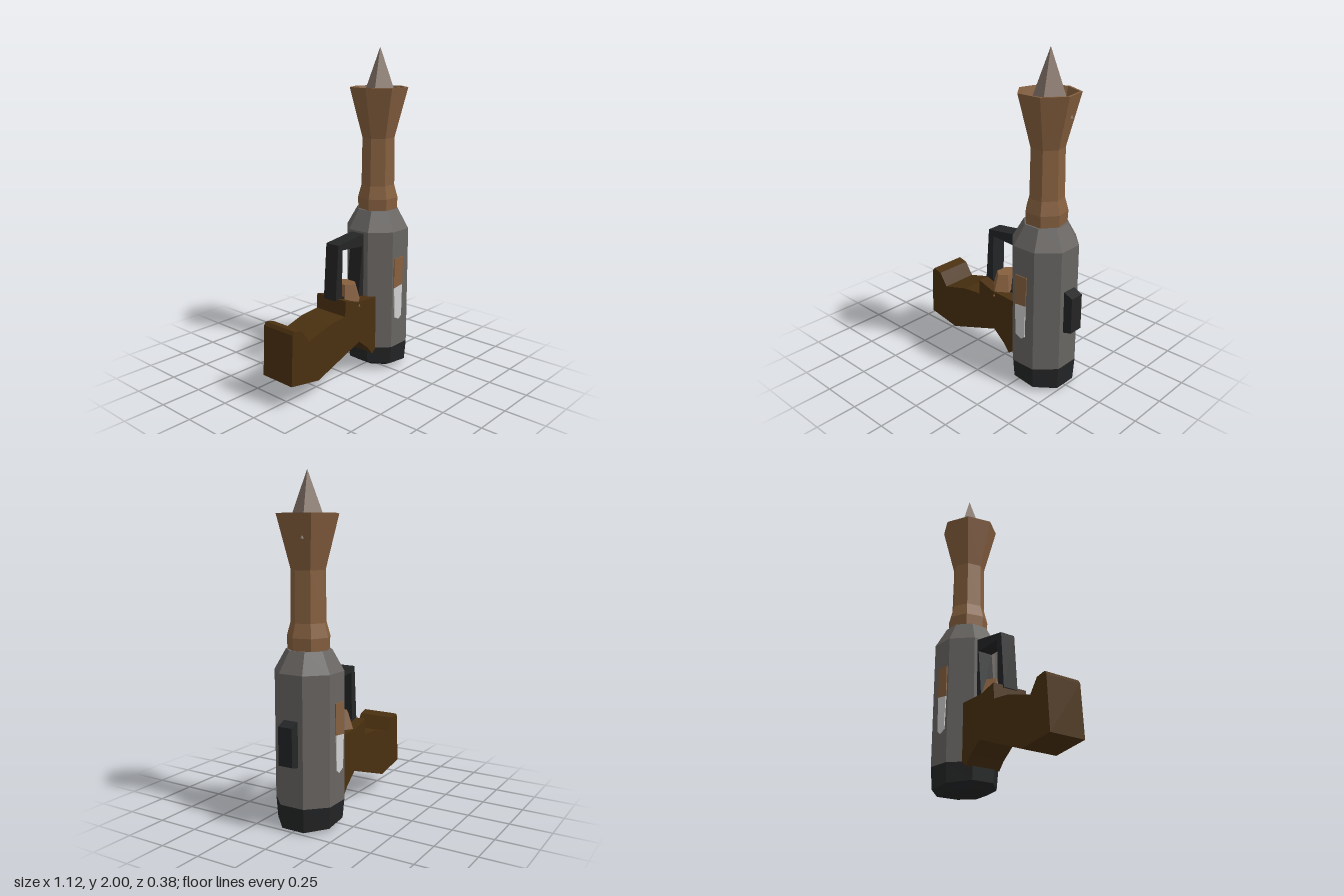
import * as THREE from 'three';

function mat(name, color) {
  const m = new THREE.MeshStandardMaterial({ color, flatShading: true, side: THREE.DoubleSide });
  m.name = name;
  return m;
}

export function createModel() {
  const group = new THREE.Group();
  const darkWood = mat('dark wood', 0x4a3010);
  const copper = mat('copper brown', 0x86603f);
  const steel = mat('grey steel', 0x686562);
  const black = mat('black', 0x242526);
  const pale = mat('pale grey', 0xd0d0d0);
  const spikeGrey = mat('spike grey', 0x88776b);
  const CX = 0.318; // axis of the barrel

  function add(name, geometry, material, x = 0, y = 0, z = 0) {
    const mesh = new THREE.Mesh(geometry, material);
    mesh.name = name;
    mesh.position.set(x, y, z);
    group.add(mesh);
    return mesh;
  }
  const v2 = (pts) => pts.map(([x, y]) => new THREE.Vector2(x, y));
  const lathe = (pts, sides, start) => new THREE.LatheGeometry(v2(pts), sides, start);

  // Side outline given thickness from z0 to z1
  function slab(outline, z0, z1, hole) {
    const shape = new THREE.Shape(v2(outline));
    if (hole) shape.holes.push(new THREE.Path(v2(hole)));
    return new THREE.ExtrudeGeometry(shape, { depth: z1 - z0, bevelEnabled: false }).translate(0, 0, z0);
  }

  // Octagonal body with sloped shoulder
  add('body', lathe([[0.2, 0.15], [0.2, 0.9], [0.132, 1.02], [0, 1.02]], 8, Math.PI / 8), steel, CX);

  // Base cap, its underside slightly tilted
  const base = lathe([[0, 0], [0.13, 0], [0.19, 0.03], [0.2, 0.15]], 8, Math.PI / 8);
  const p = base.attributes.position;
  for (let i = 0; i < p.count; i++) {
    if (p.getY(i) < 0.1) p.setY(i, Math.max(0, p.getY(i) - p.getX(i) * 0.11));
  }
  base.computeVertexNormals();
  add('baseCap', base, black, CX);

  // Neck with collar, flared muzzle and hollow mouth
  add('neckAndMuzzle', lathe([
    [0.122, 1.01], [0.126, 1.09], [0.104, 1.17], [0.1, 1.46],
    [0.18, 1.765], [0.165, 1.765], [0.13, 1.63], [0, 1.63],
  ], 7, Math.PI / 7), copper, CX);

  // Four-sided spike in the mouth
  add('spike', new THREE.ConeGeometry(0.135, 0.37, 4, 1, false, 0.35), spikeGrey, 0.326, 1.815, 0);

  // Stock
  add('stock', slab([
    [-0.563, 0.152], [-0.345, 0.114], [0.015, 0.24], [0.1, 0.17], [0.14, 0.12], [0.19, 0.16],
    [0.19, 0.49], [0.0, 0.5], [-0.11, 0.535], [-0.115, 0.44], [-0.24, 0.43], [-0.42, 0.38],
    [-0.475, 0.46], [-0.535, 0.475], [-0.548, 0.455],
  ], -0.12, 0.113), darkWood);

  // Knob on top of the stock
  const knob = add('knob', new THREE.CylinderGeometry(0.075, 0.12, 0.13, 6), copper, 0.015, 0.535, 0);
  knob.scale.x = 0.7;

  // Loop handle
  add('handle', slab(
    [[-0.12, 0.52], [-0.075, 0.52], [0.085, 0.48], [0.17, 0.48], [0.17, 0.89], [0.13, 0.888], [-0.095, 0.86]],
    -0.055, 0.042,
    [[-0.065, 0.535], [0.09, 0.5], [0.122, 0.812], [-0.058, 0.825]],
  ), black);

  // Side grip block
  add('sideBlock', slab([[0.48, 0.375], [0.505, 0.385], [0.56, 0.4], [0.56, 0.62], [0.505, 0.645], [0.48, 0.645]],
    -0.045, 0.045), black);

  // Gauge windows on both broad faces
  for (const [side, z0, z1] of [['front', 0.182, 0.19], ['back', -0.19, -0.182]]) {
    add(side + 'WindowTop', slab([[0.255, 0.54], [0.338, 0.55], [0.342, 0.73], [0.255, 0.73]], z0, z1), copper);
    add(side + 'WindowBottom', slab([
      [0.265, 0.345], [0.305, 0.325], [0.332, 0.345], [0.336, 0.55], [0.256, 0.54],
    ], z0, z1), pale);
  }
  return group;
}
